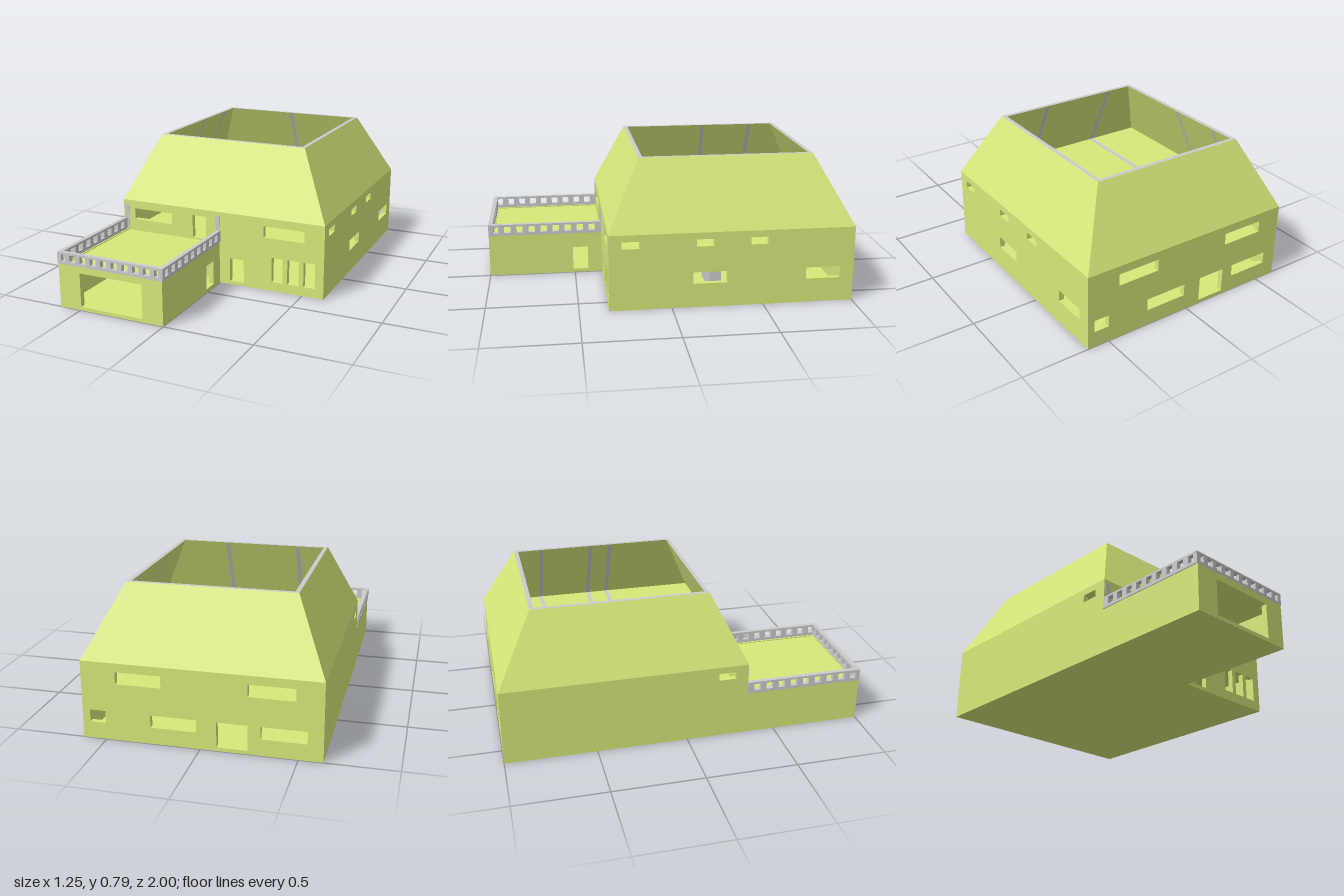
import * as THREE from 'three';

const green = new THREE.MeshStandardMaterial({ color: 0xd6e87a, flatShading: true });
const grey = new THREE.MeshStandardMaterial({ color: 0xcccccc, flatShading: true });
const greyThin = new THREE.MeshStandardMaterial({ color: 0xcccccc, side: THREE.DoubleSide });

export function createModel() {
  const house = new THREE.Group();
  house.name = 'house';

  function add(name, geometry, material = green) {
    const mesh = new THREE.Mesh(geometry, material);
    mesh.name = name;
    house.add(mesh);
    return mesh;
  }

  function box(name, x0, x1, y0, y1, z0, z1, material) {
    const g = new THREE.BoxGeometry(x1 - x0, y1 - y0, z1 - z0);
    g.translate((x0 + x1) / 2, (y0 + y1) / 2, (z0 + z1) / 2);
    return add(name, g, material);
  }

  // Upright panel with rectangular openings [u0, u1, y0, y1]
  function panel(u0, u1, y0, y1, holes, depth) {
    const rect = (path, a, b, c, d) =>
      path.moveTo(a, c).lineTo(b, c).lineTo(b, d).lineTo(a, d).closePath();
    const shape = new THREE.Shape();
    rect(shape, u0, u1, y0, y1);
    for (const h of holes) {
      const p = new THREE.Path();
      rect(p, ...h);
      shape.holes.push(p);
    }
    return new THREE.ExtrudeGeometry(shape, { depth, bevelEnabled: false });
  }

  // Wall running along x, from z to z + depth
  function wallX(name, z, x0, x1, y0, y1, holes = [], material = green, depth = 0.03) {
    add(name, panel(x0, x1, y0, y1, holes, depth).translate(0, 0, z), material);
  }

  // Wall running along z, from x to x + depth
  function wallZ(name, x, z0, z1, y0, y1, holes = [], material = green, depth = 0.03) {
    const flipped = holes.map(([a, b, c, d]) => [-b, -a, c, d]);
    const g = panel(-z1, -z0, y0, y1, flipped, depth).rotateY(Math.PI / 2);
    add(name, g.translate(x, 0, 0), material);
  }

  // Main block walls
  wallX('mainFrontWall', 0.31, -0.625, 0.625, 0, 0.4, [
    [0.065, 0.15, 0.02, 0.157],
    [0.32, 0.385, 0.055, 0.198], [0.413, 0.48, 0.055, 0.198], [0.508, 0.575, 0.055, 0.198],
    [0.27, 0.51, 0.31, 0.375], [-0.55, -0.305, 0.31, 0.375],
    [-0.17, -0.085, 0.25, 0.383], [-0.17, -0.085, 0.02, 0.157],
  ]);
  wallX('backWall', -1, -0.625, 0.625, 0, 0.4, [
    [-0.485, -0.245, 0.31, 0.375], [0.2, 0.44, 0.31, 0.375],
    [-0.545, -0.31, 0.09, 0.157], [0.02, 0.26, 0.09, 0.157], [0.5, 0.585, 0.09, 0.157],
    [-0.245, -0.085, 0.02, 0.157],
  ]);
  wallZ('leftWall', 0.595, -0.97, 0.31, 0, 0.4, [
    [0.175, 0.27, 0.345, 0.385], [-0.225, -0.13, 0.345, 0.385], [-0.52, -0.425, 0.345, 0.385],
    [-0.3, -0.115, 0.135, 0.2], [-0.925, -0.735, 0.135, 0.2],
  ]);
  wallZ('rightWall', -0.625, -0.97, 0.31, 0, 0.4, [[0.175, 0.27, 0.345, 0.385]]);

  // Floors and ceiling
  box('groundFloor', -0.595, 0.595, 0, 0.02, -0.97, 0.31);
  box('upperFloor', -0.595, 0.595, 0.215, 0.235, -0.97, 0.31);
  box('ceiling', -0.625, 0.625, 0.4, 0.41, -1, 0.34);

  // Ground floor partitions
  box('hallPartition', 0.03, 0.2, 0.02, 0.215, -0.32, -0.29, grey);
  box('sidePartition', 0.2, 0.45, 0.02, 0.215, -0.3, -0.235, grey);

  // Front wing with terrace on top
  wallX('wingFrontWall', 0.97, -0.625, 0, 0, 0.245, [[-0.495, -0.12, 0.02, 0.21]]);
  wallZ('wingLeftWall', -0.03, 0.34, 0.97, 0, 0.245, [[0.42, 0.51, 0.02, 0.157]]);
  wallZ('wingRightWall', -0.625, 0.34, 0.97, 0, 0.245);
  box('wingFloor', -0.595, -0.03, 0, 0.02, 0.34, 0.97);
  box('terrace', -0.595, -0.03, 0.22, 0.24, 0.34, 0.97);
  box('terracePost', -0.62, -0.59, 0.245, 0.4, 0.34, 0.343, grey);
  box('terracePost', -0.025, 0, 0.245, 0.4, 0.34, 0.343, grey);

  // Pierced railing around the terrace
  const frontGaps = [], sideGaps = [];
  for (let i = 0; i < 10; i++) {
    const c = -0.6 + i * 0.0639;
    frontGaps.push([c - 0.018, c + 0.018, 0.262, 0.3]);
  }
  for (let i = 0; i < 9; i++) {
    const c = 0.395 + i * 0.0708;
    sideGaps.push([c - 0.019, c + 0.019, 0.262, 0.3]);
  }
  wallX('frontRailing', 0.975, -0.63, 0.005, 0.245, 0.312, frontGaps, grey, 0.025);
  wallZ('leftRailing', -0.02, 0.34, 1, 0.245, 0.312, sideGaps, grey, 0.025);
  wallZ('rightRailing', -0.63, 0.34, 1, 0.245, 0.312, sideGaps, grey, 0.025);

  // Skin through rectangular loops [x0, x1, z0, z1, y]
  function loft(name, loops, material) {
    const corners = ([x0, x1, z0, z1, y]) => [[x0, y, z1], [x1, y, z1], [x1, y, z0], [x0, y, z0]];
    const pos = [];
    for (let i = 0; i + 1 < loops.length; i++) {
      const a = corners(loops[i]), b = corners(loops[i + 1]);
      for (let k = 0; k < 4; k++) {
        const n = (k + 1) % 4;
        pos.push(...a[k], ...a[n], ...b[n], ...a[k], ...b[n], ...b[k]);
      }
    }
    const g = new THREE.BufferGeometry();
    g.setAttribute('position', new THREE.Float32BufferAttribute(pos, 3));
    g.computeVertexNormals();
    add(name, g, material);
  }

  // Open-topped sloping roof
  const outerTop = [-0.455, 0.435, -0.8, 0.16, 0.793];
  const innerTop = [-0.432, 0.412, -0.777, 0.137, 0.793];
  const innerBase = [-0.6, 0.6, -0.975, 0.315, 0.41];
  loft('roofOutside', [[-0.625, 0.625, -1, 0.34, 0.41], [-0.625, 0.625, -1, 0.34, 0.422], outerTop]);
  loft('roofRim', [outerTop, innerTop], grey);
  loft('roofInside', [innerTop, innerBase]);

  // Partition lines on the attic floor
  const w = 0.012, y0 = 0.41, y1 = 0.413;
  const alongX = [[-0.64, -0.6, 0.6], [-0.34, 0.145, 0.6], [-0.22, 0.145, 0.6], [-0.34, -0.6, -0.28]];
  const alongZ = [[-0.28, -0.64, 0.315], [0.145, -0.64, -0.34], [0.145, -0.22, 0.315], [-0.01, -0.975, -0.64]];
  for (const [z, a, b] of alongX) box('partitionLine', a, b, y0, y1, z - w, z + w, grey);
  for (const [x, a, b] of alongZ) box('partitionLine', x - w, x + w, y0, y1, a, b, grey);

  // The same lines carried up the inner slopes; e is the index of the slope in the loops
  function slopeLine(e, at) {
    const off = e % 2 ? -0.003 : 0.003;
    const base = innerBase[e] + off, top = innerTop[e] + off;
    const p = (s, u, y) => (e < 2 ? [u, y, at + s] : [at + s, y, u]);
    const q = [p(-w, base, 0.41), p(w, base, 0.41), p(w, top, 0.79), p(-w, top, 0.79)];
    const g = new THREE.BufferGeometry();
    g.setAttribute('position', new THREE.Float32BufferAttribute(q.flat(), 3));
    g.setIndex([0, 1, 2, 0, 2, 3]);
    g.computeVertexNormals();
    add('slopeLine', g, greyThin);
  }
  [-0.64, -0.34].forEach((z) => slopeLine(0, z));
  [-0.64, -0.34, -0.22].forEach((z) => slopeLine(1, z));
  slopeLine(2, -0.01);
  [-0.28, 0.145].forEach((x) => slopeLine(3, x));

  return house;
}
